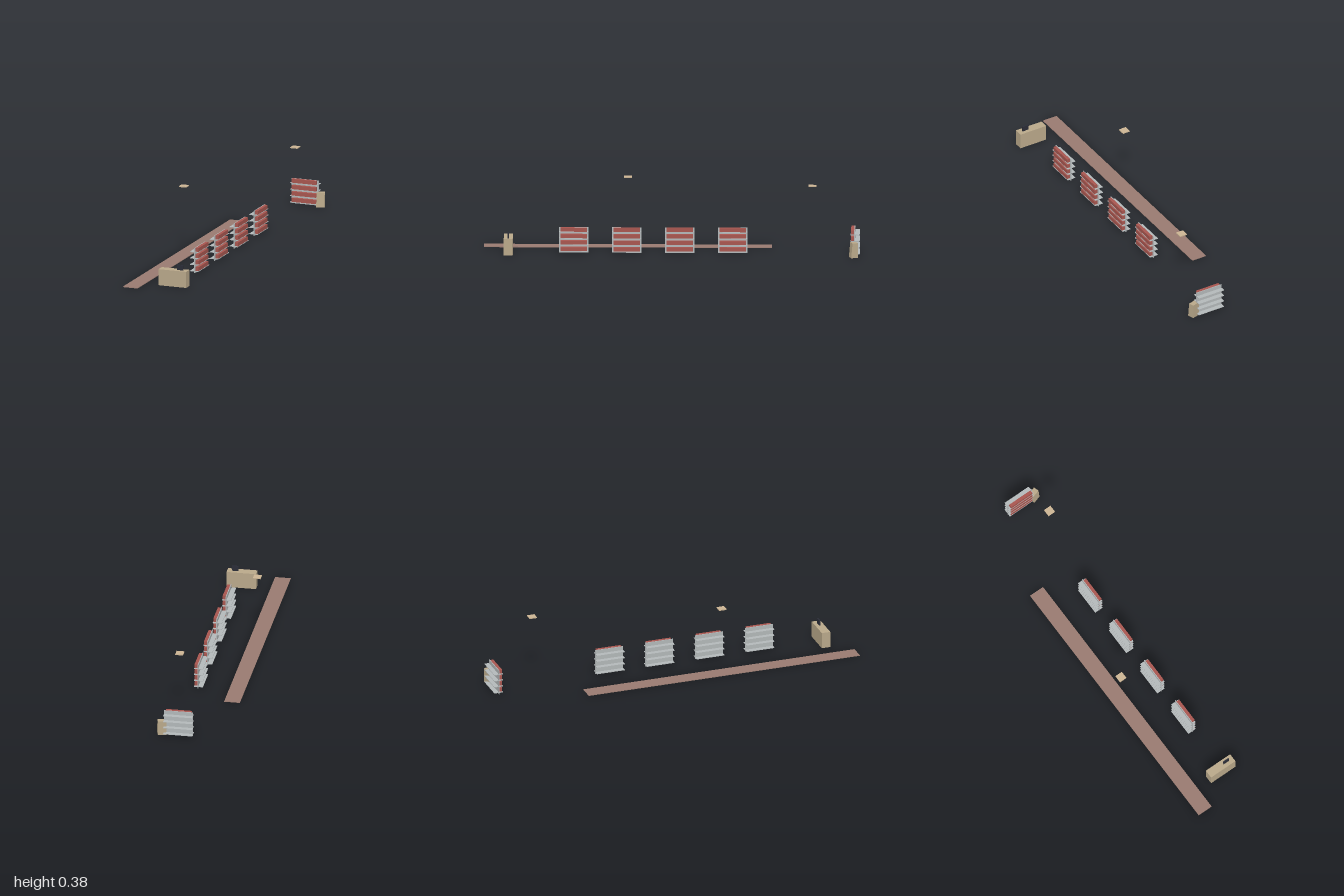
import * as THREE from 'three';

const mat = (name, color) => {
  const m = new THREE.MeshStandardMaterial({ color });
  m.name = name;
  return m;
};

export function createModel() {
  const model = new THREE.Group();
  model.name = 'shopFittings';

  const metal = mat('shelf grey', 0xb3b8b9);
  const red = mat('goods red', 0xa8564f);
  const tan = mat('counter tan', 0xb9a88a);
  const brown = mat('runner brown', 0x987a70);
  const beige = mat('panel beige', 0xcbb493);
  const dark = mat('screen dark', 0x2a2c37);

  // Box given by its minimum and maximum corners
  function box(name, material, x0, x1, y0, y1, z0, z1, parent = model) {
    const mesh = new THREE.Mesh(new THREE.BoxGeometry(x1 - x0, y1 - y0, z1 - z0), material);
    mesh.position.set((x0 + x1) / 2, (y0 + y1) / 2, (z0 + z1) / 2);
    mesh.name = name;
    parent.add(mesh);
    return mesh;
  }

  // Shelf rack running along x; goods stand on its +z side
  function rack(name) {
    const g = new THREE.Group();
    g.name = name;
    const half = 0.0785;
    box('backPanel', metal, -half, half, 0.004, 0.141, -0.002, 0.002, g);
    for (let i = 0; i < 4; i++) {
      const y = 0.015 + i * 0.035;
      box('backShelf', metal, -half, half, y - 0.003, y, -0.027, -0.002, g);
      box('frontShelf', metal, -half, half, y - 0.003, y, 0.002, 0.021, g);
      box('goods', red, -0.0695, 0.0695, y, y + 0.021, 0.002, 0.0195, g);
    }
    model.add(g);
    return g;
  }

  // Row of four racks turned to face +x, and one end rack facing the front
  for (let i = 0; i < 4; i++) {
    const r = rack('aisleRack');
    r.position.set(0.0645, 0, -0.325 + i * 0.2815);
    r.rotation.y = Math.PI / 2;
  }
  rack('endRack').position.set(0.0665, 0, -0.973);

  // Floor runner
  box('floorRunner', brown, -0.185, -0.1, 0, 0.003, -0.53, 1);

  // Counter with its screen
  box('counter', tan, -0.025, 0.134, 0, 0.088, 0.843, 0.891);
  box('screen', dark, 0.073, 0.108, 0.088, 0.116, 0.863, 0.87);

  // Turned stand by the end rack, its front leaning back slightly
  const stand = box('stand', tan, -0.0225, 0.0225, 0, 0.08, -0.0185, 0.0185);
  const p = stand.geometry.attributes.position;
  for (let i = 0; i < p.count; i++) {
    if (p.getY(i) > 0 && p.getZ(i) > 0) p.setZ(i, p.getZ(i) - 0.007);
  }
  stand.geometry.computeVertexNormals();
  stand.position.set(0.158, 0.04, -0.967);
  stand.rotation.y = 0.3;

  // Ceiling panels
  for (const [x, z] of [[0.1, -0.748], [-0.142, 0.235]]) {
    box('ceilingPanel', beige, x - 0.021, x + 0.021, 0.372, 0.377, z - 0.021, z + 0.021);
  }

  return model;
}
